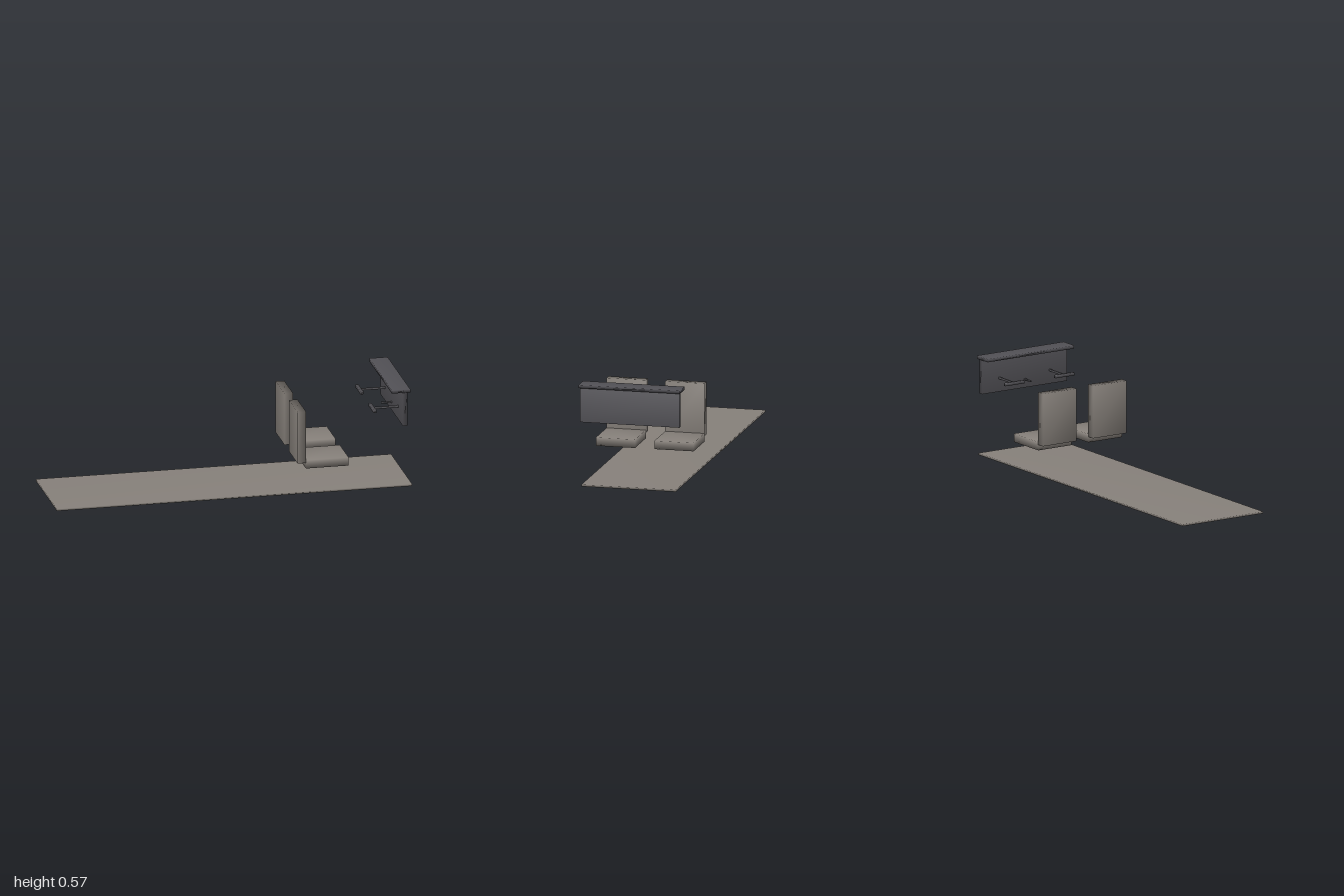
import * as THREE from 'three';
import { mergeVertices } from 'three/addons/utils/BufferGeometryUtils.js';

const warmGrey = new THREE.MeshStandardMaterial({ name: 'warm grey', color: 0x87817b });
const charcoal = new THREE.MeshStandardMaterial({ name: 'charcoal', color: 0x525156 });

// Box given by its min and max corners, with normals shared around the corners
function softBox(name, material, min, max) {
  const [w, h, d] = max.map((v, i) => v - min[i]);
  const box = new THREE.BoxGeometry(w, h, d);
  box.deleteAttribute('normal');
  box.deleteAttribute('uv');
  const geometry = mergeVertices(box);
  geometry.computeVertexNormals();
  const mesh = new THREE.Mesh(geometry, material);
  mesh.name = name;
  mesh.position.set(...max.map((v, i) => (v + min[i]) / 2));
  return mesh;
}

function createSeat(z) {
  const seat = new THREE.Group();
  seat.name = 'seat';
  seat.add(
    softBox('seatCushion', warmGrey, [0.4, 0.148, -0.111], [0.64, 0.195, 0.111]),
    softBox('seatBack', warmGrey, [0.353, 0.18, -0.111], [0.401, 0.476, 0.111])
  );
  seat.position.z = z;
  return seat;
}

function createYoke(z) {
  const yoke = new THREE.Group();
  yoke.name = 'controlYoke';
  yoke.add(
    softBox('yokeColumn', charcoal, [0.8, 0.428, -0.005], [0.947, 0.438, 0.005]),
    softBox('yokeHandle', charcoal, [0.791, 0.425, -0.063], [0.808, 0.441, 0.063])
  );
  yoke.position.z = z;
  return yoke;
}

export function createModel() {
  const model = new THREE.Group();
  model.name = 'cockpitInterior';

  // Long cabin floor
  model.add(softBox('floor', warmGrey, [-1, 0, -0.267], [1, 0.011, 0.267]));

  // Instrument panel, its hood and the centre lever
  model.add(
    softBox('instrumentPanel', charcoal, [0.945, 0.356, -0.281], [0.972, 0.55, 0.281]),
    softBox('panelHood', charcoal, [0.882, 0.55, -0.287], [0.985, 0.568, 0.287]),
    softBox('centreLever', charcoal, [0.885, 0.4, -0.005], [0.947, 0.408, 0.005])
  );

  // Two seats, each with a yoke ahead of it
  for (const side of [-1, 1]) {
    model.add(createSeat(side * 0.166), createYoke(side * 0.166));
  }
  return model;
}
